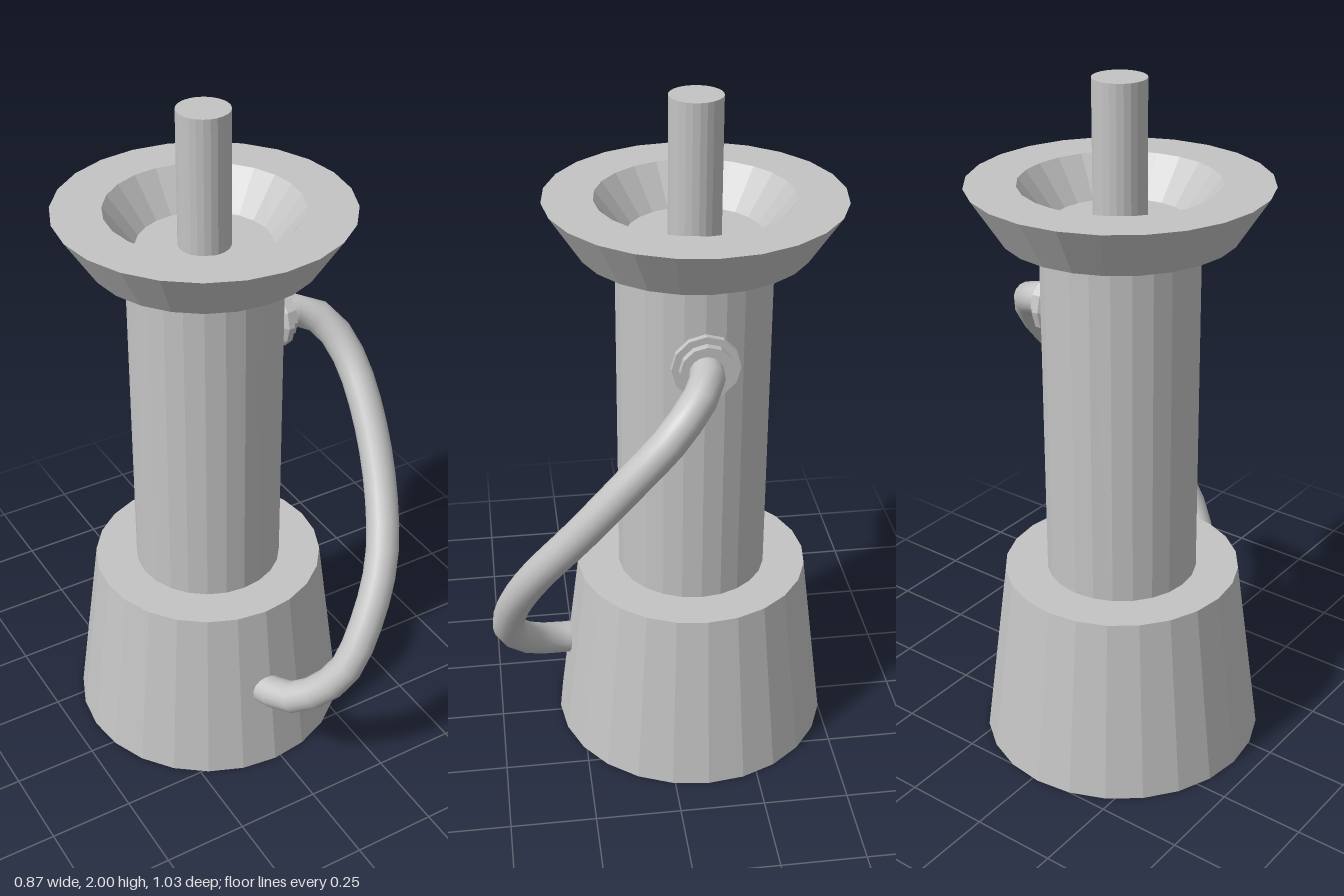
import * as THREE from 'three';

const AXIS_X = -0.02, AXIS_Z = -0.1;

export function createModel() {
  const model = new THREE.Group();
  const grey = new THREE.MeshStandardMaterial({ color: 0xc4c4c4 });
  grey.name = 'plain grey';

  const add = (name, geometry) => {
    const mesh = new THREE.Mesh(geometry, grey);
    mesh.name = name;
    model.add(mesh);
    return mesh;
  };

  // Faceted turned part from [radius, height] pairs, bottom to top
  const turned = (name, profile, sides = 24) => {
    const points = profile.map(([r, y]) => new THREE.Vector2(r, y));
    const geometry = new THREE.LatheGeometry(points, sides).toNonIndexed();
    geometry.computeVertexNormals();
    const mesh = add(name, geometry);
    mesh.position.set(AXIS_X, 0, AXIS_Z);
    return mesh;
  };

  // Upright body, stacked on one axis
  turned('base', [[0, 0], [0.415, 0], [0.345, 0.55], [0, 0.55]]);
  turned('column', [[0.22, 0.55], [0.22, 1.58]]);
  turned('dish', [[0, 1.58], [0.325, 1.58], [0.415, 1.72], [0.275, 1.72], [0.19, 1.61], [0, 1.61]]);
  turned('pin', [[0.074, 1.61], [0.074, 2], [0, 2]]);

  // Stepped collar where the hose leaves the column
  const collar = turned('hoseCollar', [
    [0, 0], [0.065, 0], [0.095, 0.025], [0.095, 0.043], [0.075, 0.043], [0.075, 0.065], [0, 0.065],
  ], 12);
  collar.rotation.z = -Math.PI / 2;
  collar.position.set(0.175, 1.32, AXIS_Z);

  // Hose sweeping from the column's side to the front of the base
  const path = new THREE.CatmullRomCurve3([
    [0.2, 1.32, -0.1], [0.29, 1.315, -0.09], [0.35, 1.28, -0.05], [0.385, 1.2, 0.02],
    [0.385, 1.08, 0.125], [0.35, 0.9, 0.265], [0.28, 0.72, 0.39], [0.185, 0.55, 0.455],
    [0.115, 0.43, 0.465], [0.05, 0.34, 0.42], [-0.005, 0.285, 0.35], [-0.04, 0.26, 0.23],
  ].map((p) => new THREE.Vector3(...p)));
  add('hose', new THREE.TubeGeometry(path, 22, 0.048, 16));

  return model;
}
